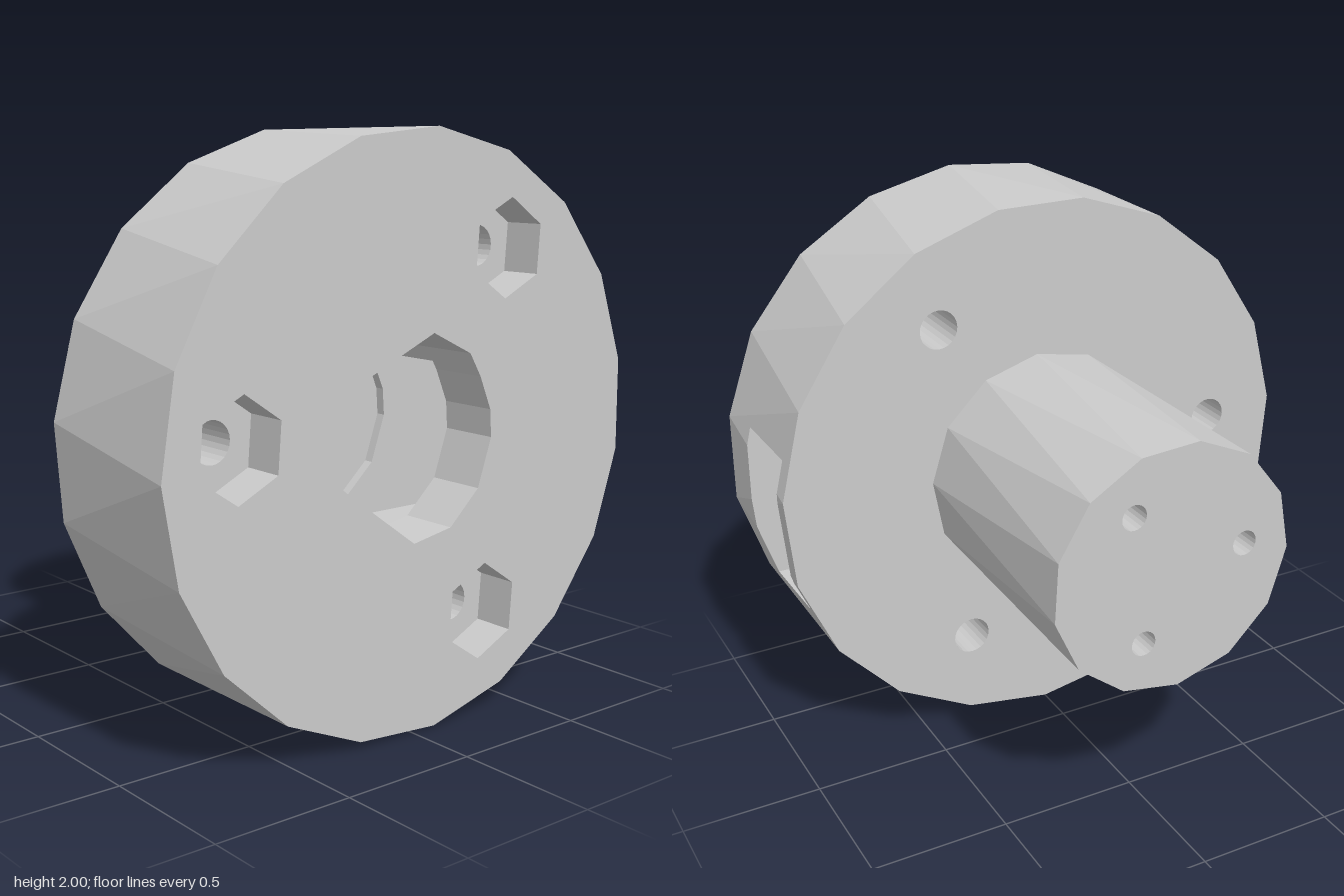
import * as THREE from 'three';

const FRONT = 0.75, SHOULDER = 0.15, BACK = -0.75; // z of flange front, flange back, hub end
const HEX_FLOOR = 0.6, POCKET_FLOOR = 0.18;
const SLOT = { y0: 0.61, y1: 1.21, z0: 0.215, z1: 0.54 };
const BOLTS = [[0.4, 1.6], [-0.715, 1.055], [0.31, 0.365]];
const PINS = [[0.155, 1.225], [-0.27, 1.03], [0.11, 0.755]];

// Shaft pocket outline, counter-clockwise; the right part is open to the slot
const pocketRight = [[-0.01, 0.655], [0.155, 0.684], [0.28, 0.8], [0.337, 0.968], [0.33, 1.064], [0.28, 1.18], [0.262, 1.21]];
const pocketLeft = [[0.262, 1.21], [0.23, 1.262], [0.064, 1.342], [-0.27, 1.198], [-0.31, 1.166], [-0.34, 1.08],
  [-0.343, 1.01], [-0.32, 0.88], [-0.295, 0.86], [-0.01, 0.655]];
const pocket = [...pocketRight, ...pocketLeft.slice(1, -1)];

// Regular polygon in xy, counter-clockwise, first corner at the given angle
function ring(cx, cy, r, n, degrees) {
  return Array.from({ length: n }, (_, i) => {
    const a = THREE.MathUtils.degToRad(degrees) + i * 2 * Math.PI / n;
    return [cx + r * Math.cos(a), cy + r * Math.sin(a)];
  });
}

const hexes = BOLTS.map(([x, y]) => ring(x, y, 0.168, 6, 26));
const boltHoles = BOLTS.map(([x, y]) => ring(x, y, 0.07, 24, 0));
const pinHoles = PINS.map(([x, y]) => ring(x, y, 0.045, 20, 0));

// Flat polygon at height z, facing +z or (flipped) -z
function face(out, points, z, flip = false, holes = []) {
  const toV = list => list.map(p => new THREE.Vector2(p[0], p[1]));
  const shape = new THREE.Shape(toV(points));
  shape.holes = holes.map(h => new THREE.Path(toV(h)));
  const geo = new THREE.ShapeGeometry(shape);
  const pos = geo.attributes.position, idx = geo.index.array;
  for (let i = 0; i < idx.length; i += 3) {
    const tri = flip ? [idx[i], idx[i + 2], idx[i + 1]] : [idx[i], idx[i + 1], idx[i + 2]];
    for (const k of tri) out.push(pos.getX(k), pos.getY(k), z);
  }
}

// Fan of a convex polygon of [x, y, z] corners
function fan(out, poly) {
  for (let i = 1; i < poly.length - 1; i++) out.push(...poly[0], ...poly[i], ...poly[i + 1]);
}

// Walls lining a recess whose outline runs counter-clockwise
function lining(out, points, z0, z1, closed = true) {
  const n = points.length;
  for (let i = 0; i < (closed ? n : n - 1); i++) {
    const a = points[(i + 1) % n], b = points[i];
    fan(out, [[...a, z0], [...b, z0], [...b, z1], [...a, z1]]);
  }
}

// Triangles joining two rings that are turned against each other
function twistedSide(back, zBack, front, zFront) {
  const tris = [], n = back.length;
  for (let i = 0; i < n; i++) {
    const j = (i + 1) % n;
    tris.push([[...back[i], zBack], [...back[j], zBack], [...front[i], zFront]]);
    tris.push([[...front[i], zFront], [...back[j], zBack], [...front[j], zFront]]);
  }
  return tris;
}

// Part of a convex polygon on one side of an axis plane
function clip(poly, axis, v, sign) {
  const res = [];
  poly.forEach((p, i) => {
    const q = poly[(i + 1) % poly.length];
    const dp = (p[axis] - v) * sign, dq = (q[axis] - v) * sign;
    if (dp >= 0) res.push(p);
    if (dp * dq < 0) {
      const r = p.map((c, k) => c + (q[k] - c) * dp / (dp - dq));
      r[axis] = v;
      res.push(r);
    }
  });
  return res;
}

function mesh(name, positions) {
  const geo = new THREE.BufferGeometry();
  geo.setAttribute('position', new THREE.Float32BufferAttribute(positions, 3));
  geo.computeVertexNormals();
  const m = new THREE.Mesh(geo, new THREE.MeshStandardMaterial({ color: 0xcccccc, flatShading: true, side: THREE.DoubleSide }));
  m.name = name;
  return m;
}

export function createModel() {
  const group = new THREE.Group();
  group.name = 'flangedCoupling';
  const flangeFront = ring(0, 1, 1, 19, 67), flangeBack = ring(0, 1, 1, 19, 61.5);
  const hubFront = ring(0, 1, 0.445, 13, 3.9), hubBack = ring(0, 1, 0.445, 13, -10.4);

  // Flange: end faces, and the rim with the slot window cut out of it
  const flange = [], windows = [];
  face(flange, flangeFront, FRONT, false, [...hexes, pocket]);
  face(flange, flangeBack, SHOULDER, true, [hubFront, ...boltHoles]);
  const planes = [[1, SLOT.y1, -1], [1, SLOT.y0, 1], [2, SLOT.z1, -1], [2, SLOT.z0, 1]];
  for (const tri of twistedSide(flangeBack, SHOULDER, flangeFront, FRONT)) {
    if (tri[0][0] < 0.5) { fan(flange, tri); continue; }
    let rest = tri;
    for (const [axis, v, sign] of planes) {
      fan(flange, clip(rest, axis, v, -sign));
      rest = clip(rest, axis, v, sign);
    }
    if (rest.length > 2) windows.push(rest);
  }
  group.add(mesh('flange', flange));

  // Side slot running from the rim into the shaft pocket
  const slot = [];
  const on = (p, axis, v) => Math.abs(p[axis] - v) < 1e-6;
  for (const poly of windows) {
    poly.forEach((p, i) => {
      const q = poly[(i + 1) % poly.length];
      for (const [v, x] of [[SLOT.y1, 0.262], [SLOT.y0, -0.01]]) {
        if (on(p, 1, v) && on(q, 1, v)) fan(slot, [p, q, [x, q[1], q[2]], [x, p[1], p[2]]]);
      }
    });
  }
  for (const z of [SLOT.z0, SLOT.z1]) {
    const rim = windows.flat().filter(p => on(p, 2, z)).sort((a, b) => a[1] - b[1])
      .filter((p, i, all) => i === 0 || p[1] - all[i - 1][1] > 1e-5);
    face(slot, [[-0.01, SLOT.y0], ...rim, ...[...pocketRight].reverse()], z, z === SLOT.z1);
  }
  lining(slot, [pocketRight[0], [-0.01, SLOT.y0]], SLOT.z0, SLOT.z1, false);
  group.add(mesh('sideSlot', slot));

  // Shaft pocket
  const shaft = [];
  lining(shaft, pocketLeft, POCKET_FLOOR, FRONT, false);
  lining(shaft, pocketRight, SLOT.z1, FRONT, false);
  lining(shaft, pocketRight, POCKET_FLOOR, SLOT.z0, false);
  face(shaft, pocket, POCKET_FLOOR, false, pinHoles);
  group.add(mesh('shaftPocket', shaft));

  // Hexagonal nut recesses with bolt holes through the flange
  hexes.forEach((hex, i) => {
    const nut = [];
    lining(nut, hex, HEX_FLOOR, FRONT);
    face(nut, hex, HEX_FLOOR, false, [boltHoles[i]]);
    lining(nut, boltHoles[i], SHOULDER, HEX_FLOOR);
    group.add(mesh('nutRecess' + (i + 1), nut));
  });

  // Hub with small holes running through to the pocket
  const hub = [];
  twistedSide(hubBack, BACK, hubFront, SHOULDER).forEach(t => fan(hub, t));
  face(hub, hubBack, BACK, true, pinHoles);
  pinHoles.forEach(h => lining(hub, h, BACK, POCKET_FLOOR));
  group.add(mesh('hub', hub));
  return group;
}
